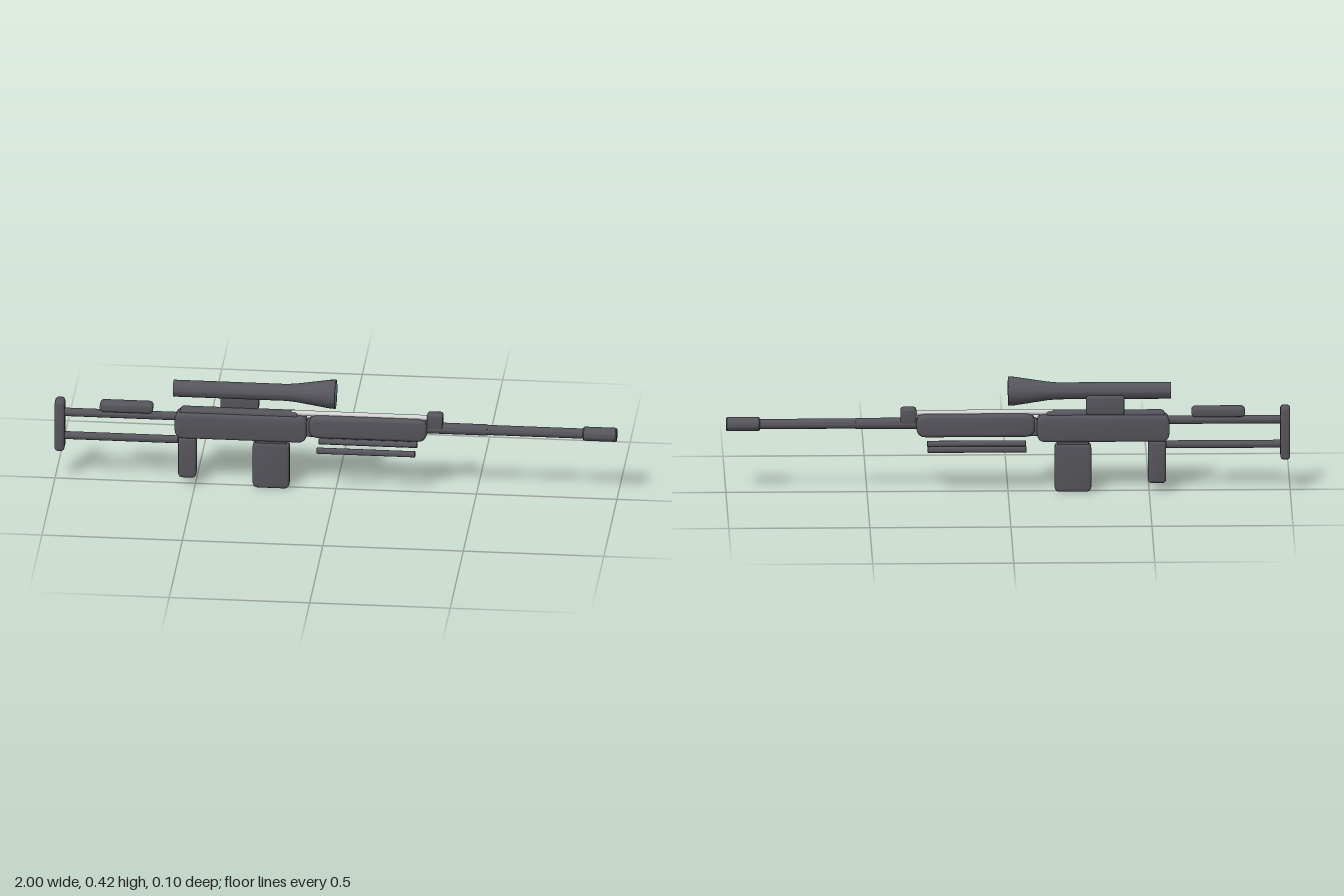
import * as THREE from 'three';
import { toCreasedNormals } from 'three/addons/utils/BufferGeometryUtils.js';

const gunmetal = new THREE.MeshStandardMaterial({ name: 'gunmetal', color: 0x56555c });
const steel = new THREE.MeshStandardMaterial({ name: 'bright steel', color: 0xd2d2d2 });
const glass = new THREE.MeshStandardMaterial({ name: 'lens glass', color: 0x648f9f });

export function createModel() {
  const model = new THREE.Group();

  function add(name, geometry, material = gunmetal) {
    const mesh = new THREE.Mesh(geometry, material);
    mesh.name = name;
    model.add(mesh);
    return mesh;
  }

  // Side profile with rounded corners, extruded across z with a soft bevel
  function block(name, [x0, x1], [y0, y1], [z0, z1], corner, bevel) {
    const a = x0 + bevel, b = x1 - bevel, c = y0 + bevel, d = y1 - bevel;
    const r = Math.max(corner - bevel, 0.001);
    const s = new THREE.Shape();
    s.moveTo(a + r, c);
    s.lineTo(b - r, c);
    s.quadraticCurveTo(b, c, b, c + r);
    s.lineTo(b, d - r);
    s.quadraticCurveTo(b, d, b - r, d);
    s.lineTo(a + r, d);
    s.quadraticCurveTo(a, d, a, d - r);
    s.lineTo(a, c + r);
    s.quadraticCurveTo(a, c, a + r, c);
    const g = new THREE.ExtrudeGeometry(s, {
      depth: z1 - z0 - 2 * bevel, curveSegments: 4,
      bevelEnabled: true, bevelSize: bevel, bevelThickness: bevel, bevelSegments: 3,
    });
    g.translate(0, 0, z0 + bevel);
    return add(name, toCreasedNormals(g, 0.7));
  }

  // Round part along x, given as [x, radius] stations
  function round(name, stations, y, z = 0, material = gunmetal) {
    const points = stations.map(([x, r]) => new THREE.Vector2(r, x));
    const g = new THREE.LatheGeometry(points, 28);
    g.rotateZ(-Math.PI / 2);
    g.translate(0, y, z);
    return add(name, toCreasedNormals(g, 0.6), material);
  }

  function rod(name, x0, x1, r, y, z = 0, material = gunmetal) {
    const e = r * 0.15;
    return round(name, [[x0, 0], [x0, r - e], [x0 + e, r], [x1 - e, r], [x1, r - e], [x1, 0]], y, z, material);
  }

  // Skeleton stock
  block('buttPlate', [-1, -0.965], [0.115, 0.307], [-0.028, 0.028], 0.013, 0.009);
  rod('upperStockRod', -0.975, -0.56, 0.015, 0.258);
  rod('lowerStockRod', -0.975, -0.56, 0.014, 0.168);
  block('cheekPad', [-0.84, -0.65], [0.271, 0.306], [-0.023, 0.023], 0.016, 0.008);

  // Receiver
  block('receiver', [-0.572, -0.103], [0.184, 0.282], [-0.032, 0.032], 0.03, 0.01);
  block('receiverCover', [-0.555, -0.135], [0.262, 0.293], [-0.022, 0.022], 0.014, 0.008);
  block('receiverNeck', [-0.13, -0.07], [0.205, 0.262], [-0.022, 0.022], 0.008, 0.006);
  block('pistolGrip', [-0.56, -0.496], [0.03, 0.186], [-0.027, 0.027], 0.015, 0.01);
  block('magazine', [-0.295, -0.165], [0, 0.176], [-0.023, 0.023], 0.018, 0.01);
  block('magazineWell', [-0.285, -0.175], [0.165, 0.195], [-0.019, 0.019], 0.006, 0.004);

  // Handguard and barrel
  block('handguard', [-0.095, 0.325], [0.203, 0.286], [-0.031, 0.031], 0.034, 0.012);
  rod('gasRod', -0.16, 0.335, 0.01, 0.288, 0, steel);
  block('frontSight', [0.325, 0.381], [0.25, 0.307], [-0.02, 0.02], 0.01, 0.006);
  round('barrel', [[-0.1, 0], [-0.1, 0.02], [0.54, 0.02], [0.54, 0.018], [0.89, 0.018], [0.89, 0]], 0.25);
  rod('muzzle', 0.88, 1, 0.025, 0.25);

  // Folded bipod legs
  for (const side of [-1, 1]) {
    rod(side > 0 ? 'bipodLegFront' : 'bipodLegBack', -0.065, 0.286, 0.011, 0.163, side * 0.041);
  }

  // Telescopic sight on its side mount
  block('scopeMount', [-0.413, -0.276], [0.285, 0.355], [-0.041, -0.012], 0.012, 0.007);
  round('scopeTube', [[-0.578, 0], [-0.578, 0.03], [-0.175, 0.03], [-0.14, 0.033],
    [-0.02, 0.051], [0, 0.052], [0, 0.048], [-0.006, 0.048], [-0.006, 0]], 0.366);
  round('scopeLens', [[-0.005, 0], [-0.005, 0.048], [-0.001, 0.048], [-0.001, 0]], 0.366, 0, glass);

  return model;
}
